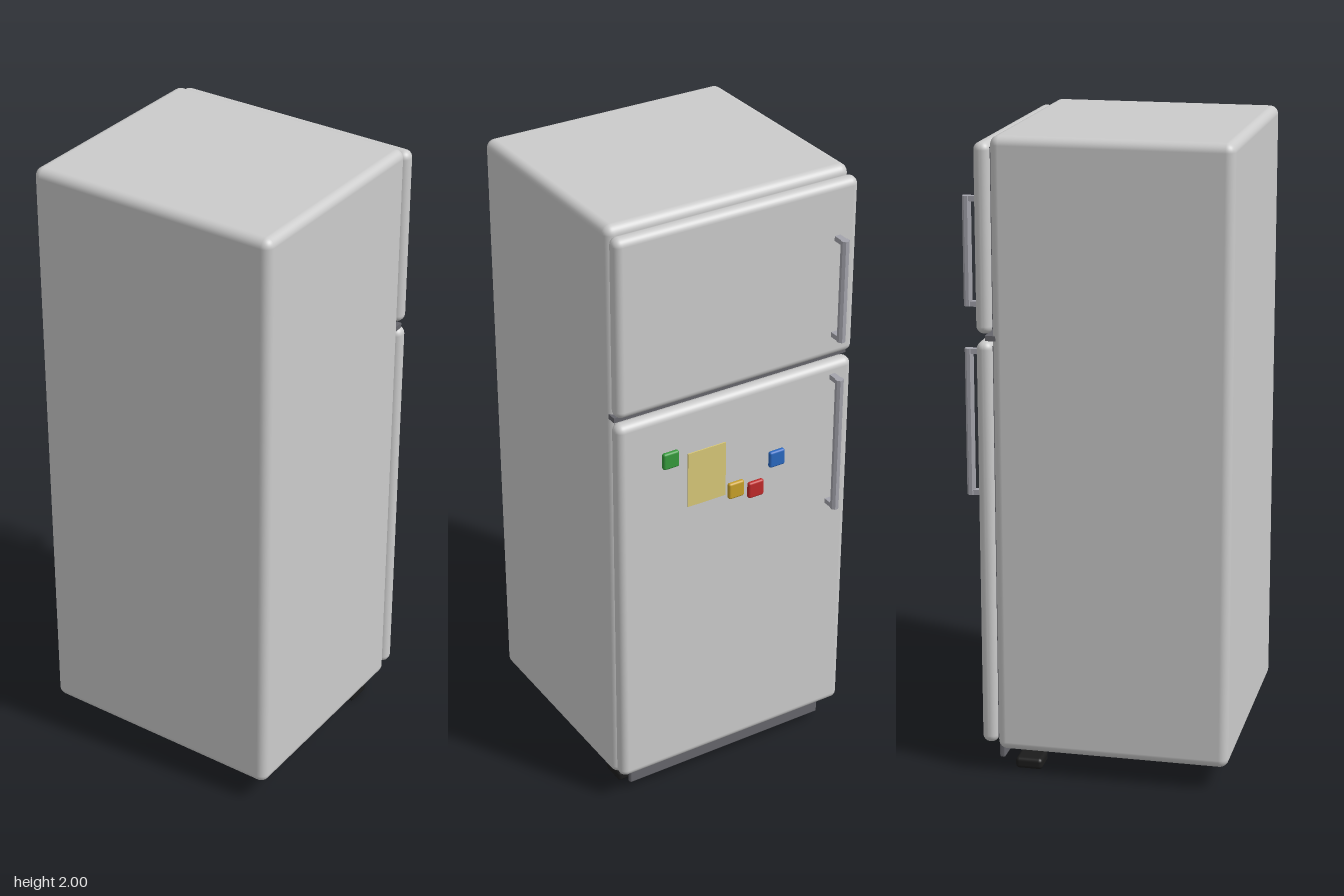
import * as THREE from 'three';
import { RoundedBoxGeometry } from 'three/addons/geometries/RoundedBoxGeometry.js';

const mat = (color, extra = {}) => new THREE.MeshStandardMaterial({ color, ...extra });

export function createModel() {
  const model = new THREE.Group();
  const shell = mat(0xcccccc);
  const metal = mat(0xa4a4ac);
  const metalFlat = mat(0xa4a4ac, { flatShading: true });
  const trim = mat(0x66666c);
  const rubber = mat(0x1c1c1c);

  const add = (parent, name, geometry, material, x, y, z) => {
    const mesh = new THREE.Mesh(geometry, material);
    mesh.name = name;
    mesh.position.set(x, y, z);
    parent.add(mesh);
    return mesh;
  };
  // Box given by its limits on each axis; r > 0 rounds the edges
  const block = (parent, name, [x0, x1], [y0, y1], [z0, z1], material, r = 0) => {
    const size = [x1 - x0, y1 - y0, z1 - z0];
    const geometry = r ? new RoundedBoxGeometry(...size, 4, r) : new THREE.BoxGeometry(...size);
    return add(parent, name, geometry, material, (x0 + x1) / 2, (y0 + y1) / 2, (z0 + z1) / 2);
  };

  // Cabinet
  block(model, 'cabinet', [-0.413, 0.413], [0.075, 2], [-0.315, 0.413], shell, 0.028);

  // Doors, each with a bar handle on two posts
  const doors = [
    { name: 'freezerDoor', y: [1.405, 1.98], handle: [1.475, 1.81] },
    { name: 'fridgeDoor', y: [0.095, 1.382], handle: [0.885, 1.345] },
  ];
  for (const { name, y, handle: [h0, h1] } of doors) {
    const door = new THREE.Group();
    door.name = name;
    block(door, name + 'Panel', [-0.413, 0.413], y, [-0.365, -0.314], shell, 0.024);
    block(door, name + 'Gasket', [-0.395, 0.395], [y[0] + 0.015, y[1] - 0.015], [-0.33, -0.3], trim);
    const bar = new THREE.CylinderGeometry(0.0135, 0.0135, h1 - h0, 8).rotateY(Math.PI / 8);
    add(door, 'handleBar', bar, metalFlat, -0.339, (h0 + h1) / 2, -0.404);
    for (const py of [h0 + 0.008, h1 - 0.008]) {
      block(door, 'handlePost', [-0.349, -0.329], [py - 0.008, py + 0.008], [-0.402, -0.36], metal);
    }
    model.add(door);
  }

  // Strip in the gap between the doors
  block(model, 'dividerStrip', [-0.408, 0.408], [1.386, 1.402], [-0.335, -0.3], trim);

  // Kick plate and the two feet under the door side
  block(model, 'kickPlate', [-0.36, 0.36], [0.028, 0.08], [-0.322, -0.304], trim, 0.006);
  for (const side of [-1, 1]) {
    add(model, 'foot', new RoundedBoxGeometry(0.086, 0.036, 0.086, 3, 0.012), rubber, side * 0.328, 0.018, -0.226);
  }

  // Magnets and paper note on the lower door
  const magnets = [
    ['blueMagnet', 0x2a68c0, -0.138, 1.115],
    ['redMagnet', 0xc02a2a, -0.063, 1.03],
    ['yellowMagnet', 0xc8a02a, 0.008, 1.05],
    ['greenMagnet', 0x369a3c, 0.239, 1.228],
  ];
  for (const [name, color, x, y] of magnets) {
    add(model, name, new RoundedBoxGeometry(0.055, 0.055, 0.016, 3, 0.007), mat(color), x, y, -0.372);
  }
  block(model, 'paperNote', [0.043, 0.176], [1.04, 1.225], [-0.369, -0.363], mat(0xd8c878));

  return model;
}
